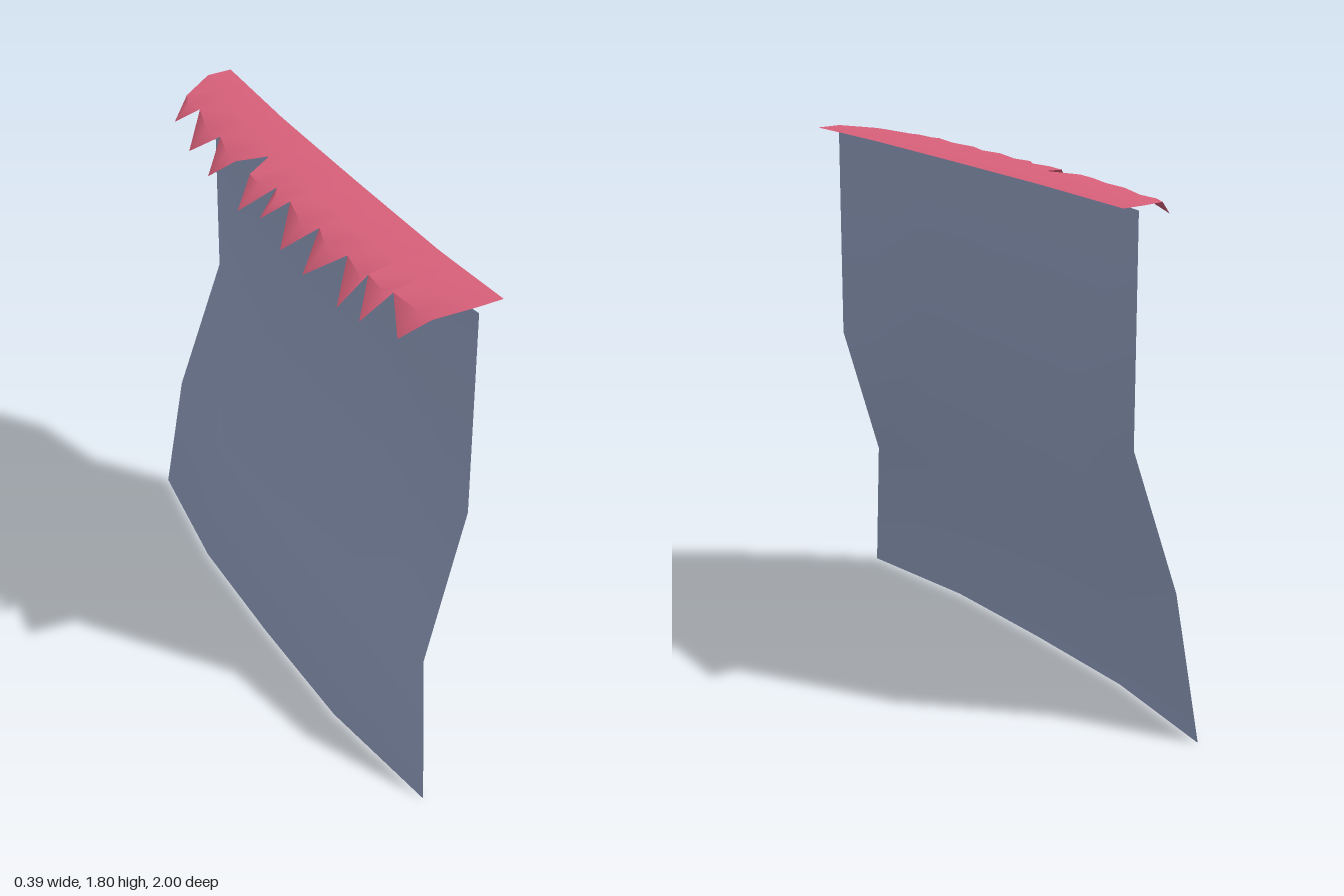
import * as THREE from 'three';

const clothBlue = new THREE.MeshStandardMaterial({ color: 0x98a6c8, side: THREE.DoubleSide });
const trimRed = new THREE.MeshStandardMaterial({ color: 0xd8607a, side: THREE.DoubleSide });

// Smooth sheet through rows of [x, y, z] points
function sheet(name, rows, material) {
  const n = rows[0].length;
  const index = [];
  for (let r = 0; r < rows.length - 1; r++) {
    for (let c = 0; c < n - 1; c++) {
      const a = r * n + c, b = a + 1, d = a + n, e = d + 1;
      index.push(a, d, b, b, d, e);
    }
  }
  const geo = new THREE.BufferGeometry();
  geo.setAttribute('position', new THREE.Float32BufferAttribute(rows.flat(2), 3));
  geo.setIndex(index);
  geo.computeVertexNormals();
  const mesh = new THREE.Mesh(geo, material);
  mesh.name = name;
  return mesh;
}

// Piecewise linear lookup of x along z
function along(stations, values, z) {
  let i = 0;
  while (i < stations.length - 2 && z > stations[i + 1]) i++;
  const t = THREE.MathUtils.clamp((z - stations[i]) / (stations[i + 1] - stations[i]), 0, 1);
  return THREE.MathUtils.lerp(values[i], values[i + 1], t);
}

export function createModel() {
  const group = new THREE.Group();
  group.name = 'cape';

  // Hanging cloth: each row has a height, its z limits and a bowed line of x
  const clothRows = [
    { y: 0, z: [-1, 1], x: [-0.11, -0.185, -0.2, -0.2, -0.14] },
    { y: 0.51, z: [-0.925, 0.885], x: [-0.065, -0.13, -0.145, -0.14, -0.085] },
    { y: 1.02, z: [-0.895, 0.825], x: [0.1, 0.055, 0.04, 0.045, 0.1] },
    { y: 1.78, z: [-0.895, 0.825], x: [0.1, 0.055, 0.04, 0.045, 0.1] },
  ].map(({ y, z, x }) => x.map((v, i) => [v, y, THREE.MathUtils.lerp(z[0], z[1], i / 4)]));
  group.add(sheet('cloth', clothRows, clothBlue));

  // Shoulder trim: straight inner edge, ragged outer edge as [x, z]
  const ragged = [
    [0.09, -0.92], [-0.03, -0.85], [-0.11, -0.79], [-0.04, -0.73], [-0.15, -0.6],
    [-0.07, -0.52], [-0.17, -0.42], [-0.1, -0.35], [0, -0.3], [-0.1, -0.25],
    [-0.185, -0.18], [-0.07, -0.12], [-0.165, -0.065], [-0.075, -0.02], [-0.185, 0.11],
    [-0.075, 0.17], [-0.19, 0.265], [-0.08, 0.355], [-0.19, 0.478], [-0.08, 0.482],
    [-0.17, 0.58], [-0.065, 0.605], [-0.125, 0.73], [-0.04, 0.785], [0.1, 0.82],
  ];
  const stations = [-0.91, -0.5, 0, 0.5, 0.82];
  const inner = [0.18, 0.165, 0.165, 0.17, 0.19];
  const crease = [0.09, 0.035, 0.02, 0.025, 0.1];
  const trimRows = [[], [], [], []];
  for (const [x, z] of ragged) {
    const fold = along(stations, crease, z);
    // Flat up to the fold, then a gentle slope, then a steep one
    const height = (px) => {
      const d = Math.max(0, fold - px);
      return 1.8 - 0.15 * Math.min(d, 0.13) - Math.max(0, d - 0.13);
    };
    const xs = [along(stations, inner, z), Math.max(x, fold), Math.max(x, fold - 0.13), x];
    xs.forEach((px, r) => trimRows[r].push([px, height(px), z]));
  }
  group.add(sheet('shoulderTrim', trimRows, trimRed));

  return group;
}
